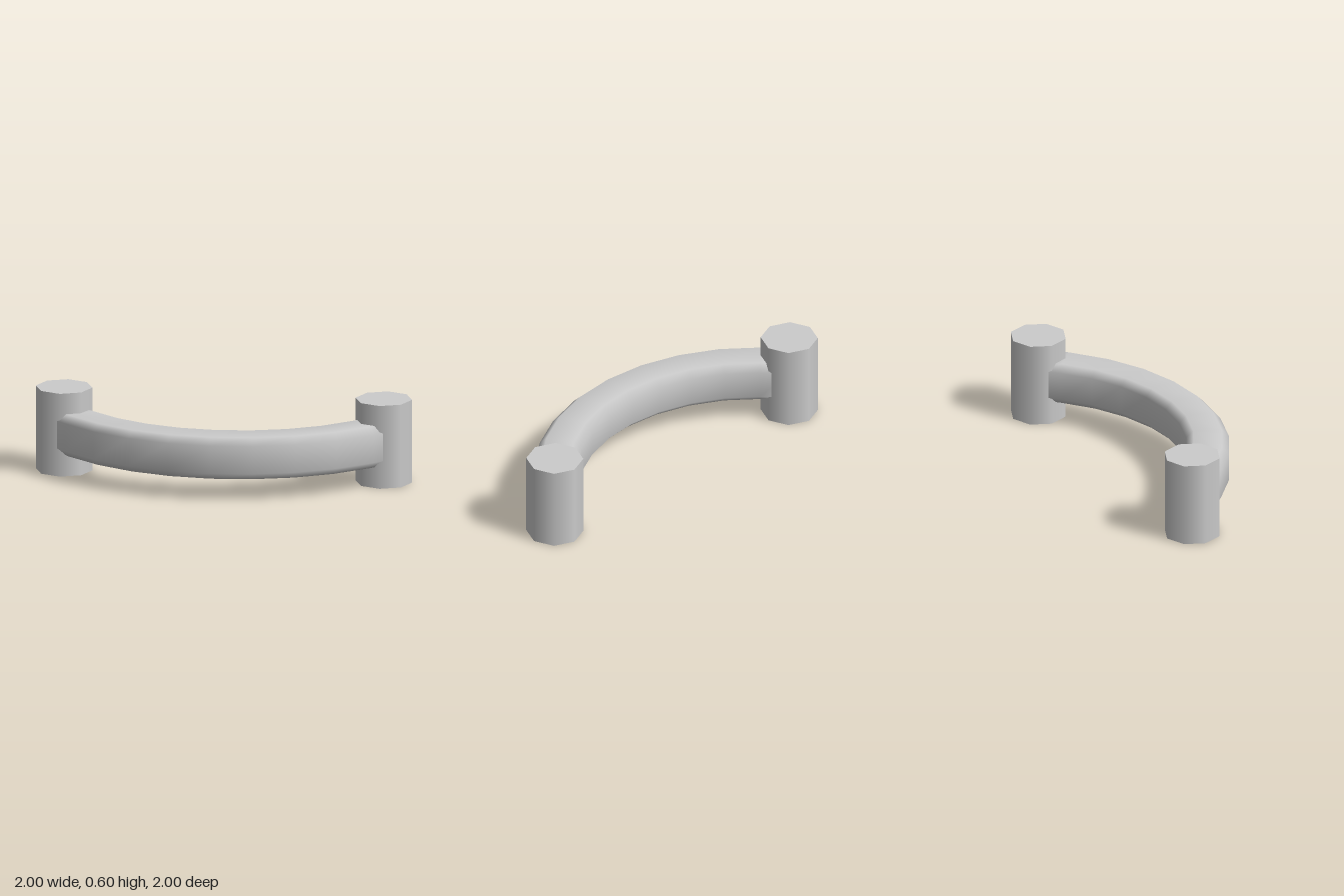
import * as THREE from 'three';

const material = new THREE.MeshStandardMaterial({ color: 0xcccccc });

// Chamfered square section (inward offset, height offset), counter-clockwise
const H = 0.15, C = 0.1;
const SECTION = [[H, -C], [H, C], [C, H], [-C, H], [-H, C], [-H, -C], [-C, -H], [C, -H]];

// Quarter-circle bar with short straight ends that run into the posts
function curvedBarGeometry(radius = 1.4, steps = 8, overlap = 0.2) {
  const stations = [];
  for (let i = 0; i <= steps; i++) stations.push({ angle: (i / steps) * Math.PI / 2, dx: 0, dz: 0 });
  stations.unshift({ angle: 0, dx: 0, dz: -overlap });
  stations.push({ angle: Math.PI / 2, dx: overlap, dz: 0 });

  const positions = [], indices = [], n = SECTION.length;
  stations.forEach(({ angle, dx, dz }, i) => {
    SECTION.forEach(([u, v], j) => {
      const r = radius - u;
      positions.push(0.6 - r * Math.cos(angle) + dx, 0.3 + v, -0.6 + r * Math.sin(angle) + dz);
      if (i === stations.length - 1) return;
      const a = i * n + j, b = i * n + (j + 1) % n;
      indices.push(a, b, a + n, b, b + n, a + n);
    });
  });
  // Close both ends
  const last = (stations.length - 1) * n;
  for (let j = 1; j < n - 1; j++) {
    indices.push(0, j + 1, j, last, last + j, last + j + 1);
  }
  const geometry = new THREE.BufferGeometry();
  geometry.setAttribute('position', new THREE.Float32BufferAttribute(positions, 3));
  geometry.setIndex(indices);
  geometry.computeVertexNormals();
  return geometry;
}

export function createModel() {
  const model = new THREE.Group();
  model.name = 'curvedRail';

  // Eight-sided end posts
  const postGeometry = new THREE.CylinderGeometry(0.2, 0.2, 0.6, 8);
  for (const [name, p] of [['backPost', -0.8], ['frontPost', 0.8]]) {
    const post = new THREE.Mesh(postGeometry, material);
    post.name = name;
    post.position.set(p, 0.3, p);
    model.add(post);
  }

  // Bar joining the posts
  const bar = new THREE.Mesh(curvedBarGeometry(), material);
  bar.name = 'curvedBar';
  model.add(bar);

  return model;
}
